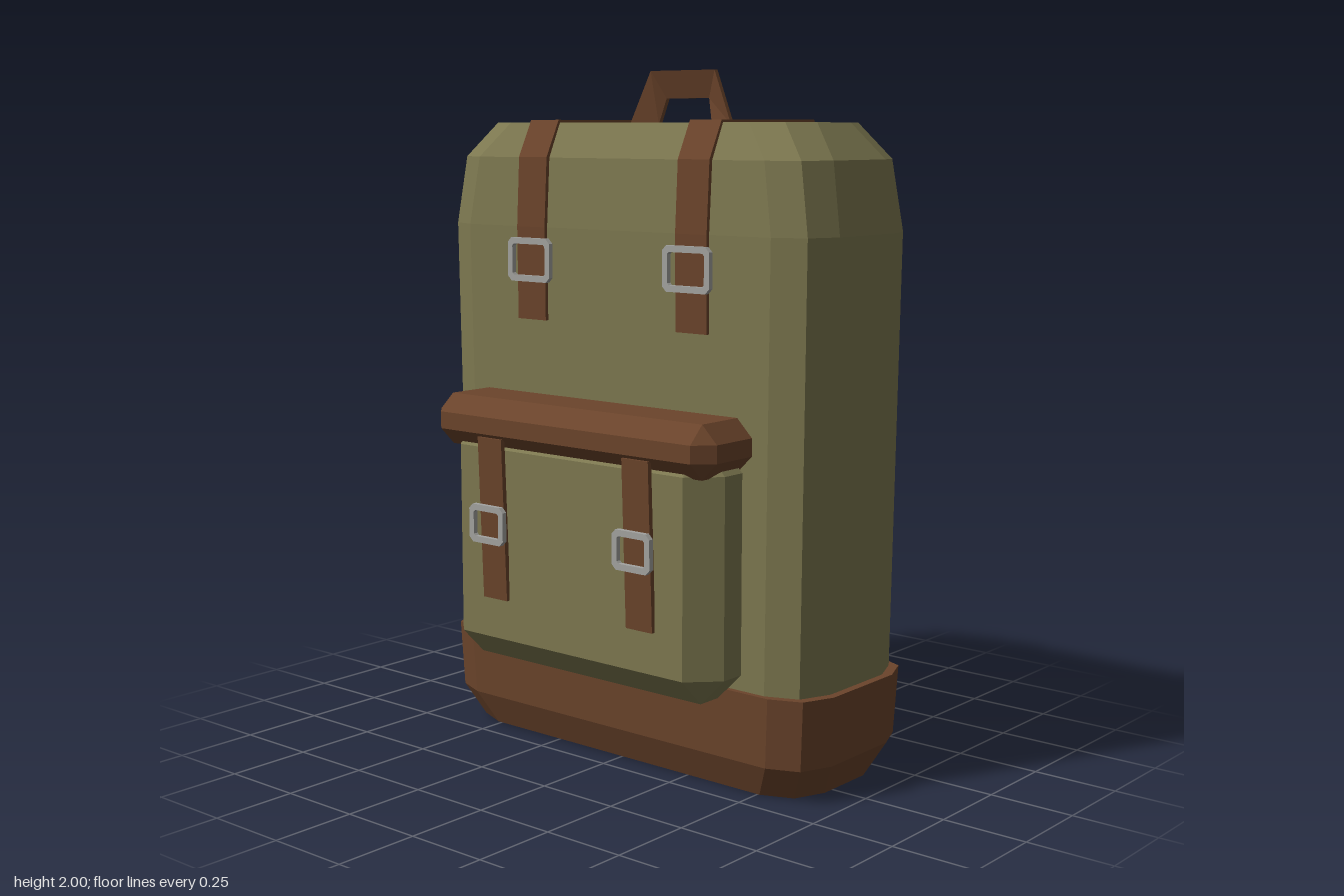
import * as THREE from 'three';
import { ConvexGeometry } from 'three/addons/geometries/ConvexGeometry.js';

const material = (name, color) => Object.assign(new THREE.MeshStandardMaterial({ color }), { name });

// Join equal-length rings of points into a faceted solid with capped ends.
function loft(rings) {
  const tris = [], n = rings[0].length;
  for (let r = 0; r < rings.length - 1; r++) {
    for (let i = 0; i < n; i++) {
      const j = (i + 1) % n;
      const a = rings[r][i], b = rings[r][j], c = rings[r + 1][j], d = rings[r + 1][i];
      tris.push([a, b, c], [a, c, d]);
    }
  }
  const first = rings[0], last = rings[rings.length - 1];
  for (let i = 1; i < n - 1; i++) {
    tris.push([first[0], first[i + 1], first[i]], [last[0], last[i], last[i + 1]]);
  }
  // Make sure every face points outwards
  let volume = 0;
  for (const [a, b, c] of tris) volume += a.dot(b.clone().cross(c));
  if (volume < 0) tris.forEach(t => t.reverse());
  const geometry = new THREE.BufferGeometry().setFromPoints(tris.flat());
  geometry.computeVertexNormals();
  return geometry;
}

// Horizontal rounded rectangle, two facets per corner.
function roundedRing([y, halfWidth, zBack, zFront], r = 0.13) {
  const cz = (zBack + zFront) / 2, halfDepth = (zFront - zBack) / 2;
  const points = [];
  [[1, 1], [-1, 1], [-1, -1], [1, -1]].forEach(([sx, sz], corner) => {
    for (let k = 0; k < 3; k++) {
      const a = corner * Math.PI / 2 + k * Math.PI / 4;
      points.push(new THREE.Vector3(
        sx * (halfWidth - r) + r * Math.cos(a), y, cz + sz * (halfDepth - r) + r * Math.sin(a)));
    }
  });
  return points;
}

// Flat band along points [x, y, z], thickened in the yz plane.
function band(path, width, thickness) {
  const rings = path.map(([x, y, z], i) => {
    const p = path[Math.max(i - 1, 0)], q = path[Math.min(i + 1, path.length - 1)];
    const length = Math.hypot(q[1] - p[1], q[2] - p[2]);
    const ny = -(q[2] - p[2]) / length * thickness / 2, nz = (q[1] - p[1]) / length * thickness / 2;
    return [[-1, -1], [1, -1], [1, 1], [-1, 1]].map(([sx, sn]) =>
      new THREE.Vector3(x + sx * width / 2, y + sn * ny, z + sn * nz));
  });
  return loft(rings);
}

// Box with every edge cut at 45 degrees, given by its min and max corners.
function chamferBox(min, max, c) {
  const points = [];
  for (let m = 0; m < 8; m++) {
    for (let full = 0; full < 3; full++) {
      points.push(new THREE.Vector3(...[0, 1, 2].map(k => {
        const inset = k === full ? 0 : c;
        return (m >> k) & 1 ? max[k] - inset : min[k] + inset;
      })));
    }
  }
  return new ConvexGeometry(points);
}

// Rectangular outline with clipped corners.
function clippedRect(Type, w, h, c) {
  const x = w / 2, y = h / 2;
  return new Type([[x - c, y], [-x + c, y], [-x, y - c], [-x, -y + c],
    [-x + c, -y], [x - c, -y], [x, -y + c], [x, y - c]].map(p => new THREE.Vector2(...p)));
}

function buckle(w, h, depth) {
  const shape = clippedRect(THREE.Shape, w, h, 0.014);
  shape.holes.push(clippedRect(THREE.Path, w - 0.036, h - 0.036, 0.006));
  return new THREE.ExtrudeGeometry(shape, { depth, bevelEnabled: false });
}

// Arched grip, leaning backwards along its inner edge.
function handleGeometry() {
  const outline = [[-0.19, 1.845], [-0.12, 2], [0.12, 2], [0.19, 1.845],
    [0.1, 1.845], [0.08, 1.92], [-0.08, 1.92], [-0.1, 1.845]];
  const geometry = new THREE.ExtrudeGeometry(
    new THREE.Shape(outline.map(p => new THREE.Vector2(...p))), { depth: 0.014, bevelEnabled: false });
  const p = geometry.attributes.position;
  for (let i = 0; i < p.count; i++) {
    const x = Math.abs(p.getX(i)), y = p.getY(i);
    const lean = x > 0.11 ? (y > 1.9 ? -0.12 : -0.108) : (y > 1.95 ? -0.12 : y > 1.9 ? -0.146 : -0.134);
    p.setZ(i, p.getZ(i) + lean);
  }
  geometry.computeVertexNormals();
  return geometry;
}

export function createModel() {
  const canvas = material('olive canvas', 0x7d7850);
  const leather = material('brown leather', 0x6b442b);
  const metal = material('grey metal', 0xa3a3a0);

  const model = new THREE.Group();
  model.name = 'backpack';
  const add = (name, geometry, mat, x = 0, y = 0, z = 0) => {
    const mesh = new THREE.Mesh(geometry, mat);
    mesh.name = name;
    mesh.position.set(x, y, z);
    model.add(mesh);
  };

  // Main bag: y, half width, back z, front z
  add('body', loft([
    [0, 0.63, -0.27, 0.16], [0.1, 0.67, -0.31, 0.2], [0.3, 0.677, -0.312, 0.202],
    [1.55, 0.692, -0.32, 0.21], [1.75, 0.66, -0.308, 0.198], [1.85, 0.573, -0.265, 0.152],
  ].map(s => roundedRing(s))), canvas);
  add('base', loft([
    [0.002, 0.64, -0.28, 0.17], [0.1, 0.69, -0.32, 0.212], [0.3, 0.7, -0.328, 0.218],
  ].map(s => roundedRing(s))), leather);

  // Front pocket and its flap
  add('pocket', chamferBox([-0.5, 0.28, 0.165], [0.5, 1, 0.4], 0.08), canvas);
  add('pocketFlap', chamferBox([-0.52, 0.915, 0.18], [0.52, 1.065, 0.43], 0.05), leather);

  add('handle', handleGeometry(), leather);

  for (const [side, s] of [['left', 1], ['right', -1]]) {
    // Closing straps running over the top
    add(side + 'TopStrap', band([
      [1.28, 0.212], [1.55, 0.214], [1.75, 0.203], [1.851, 0.156],
      [1.851, -0.268], [1.75, -0.313], [1.555, -0.324],
    ].map(([y, z]) => [s * 0.3, y, z]), 0.11, 0.014), leather);
    add(side + 'TopBuckle', buckle(0.165, 0.127, 0.015), metal, s * 0.295, 1.455, 0.223);

    // Pocket straps
    add(side + 'PocketStrap', band([[s * 0.275, 0.48, 0.403], [s * 0.275, 0.955, 0.42]], 0.094, 0.014), leather);
    add(side + 'PocketBuckle', buckle(0.135, 0.112, 0.015), metal, s * 0.275, 0.705, 0.43);

    // Shoulder straps with their anchor tabs
    add(side + 'ShoulderStrap', band([
      [s * 0.257, 1.69, -0.3], [s * 0.285, 1.56, -0.378], [s * 0.33, 1.02, -0.43],
      [s * 0.385, 0.4, -0.41], [s * 0.405, 0.24, -0.34],
    ], 0.16, 0.026), canvas);
    const x = s * 0.405;
    add(side + 'AnchorTab', chamferBox([x - 0.085, 0.1, -0.365], [x + 0.085, 0.265, -0.315], 0.012), leather);
  }
  return model;
}
